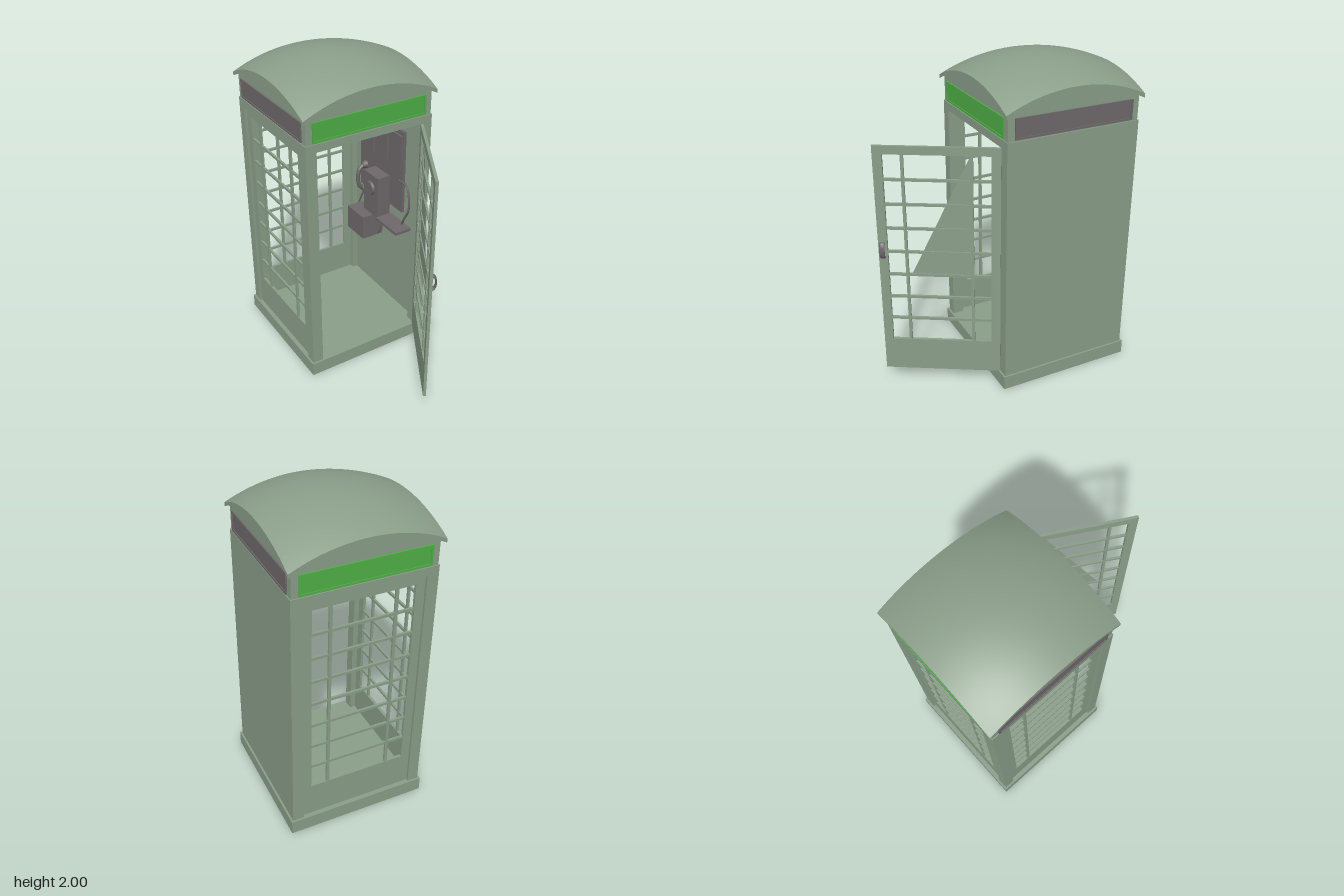
import * as THREE from 'three';

const paint = (color, extra = {}) => new THREE.MeshStandardMaterial({ color, ...extra });
const GREEN = paint(0x8a9e89);
const SHEET = paint(0x8a9e89, { side: THREE.DoubleSide });
const SIGN = paint(0x4fae46);
const DARK = paint(0x6e686a);

function add(parent, name, geometry, material, x = 0, y = 0, z = 0) {
  const mesh = new THREE.Mesh(geometry, material);
  mesh.name = name;
  mesh.position.set(x, y, z);
  parent.add(mesh);
  return mesh;
}
const box = (parent, name, mat, w, h, d, x, y, z) =>
  add(parent, name, new THREE.BoxGeometry(w, h, d), mat, x, y, z);

// Flat rectangular frame, depth centred on z = 0
function frame(w, y0, y1, holeW, h0, h1, depth) {
  const rect = (target, half, a, b) => target.moveTo(-half, a).lineTo(half, a).lineTo(half, b).lineTo(-half, b).closePath();
  const shape = rect(new THREE.Shape(), w / 2, y0, y1);
  shape.holes.push(rect(new THREE.Path(), holeW / 2, h0, h1));
  return new THREE.ExtrudeGeometry(shape, { depth, bevelEnabled: false }).translate(0, 0, -depth / 2);
}

// Glazing-bar panel used for the door and both open walls
function windowPanel(name) {
  const g = new THREE.Group();
  g.name = name;
  add(g, 'panelFrame', frame(0.72, 0.09, 1.59, 0.61, 0.31, 1.54, 0.018), GREEN);
  for (let i = 1; i < 8; i++) box(g, 'glazingBar', GREEN, 0.61, 0.016, 0.014, 0, 0.31 + i * 1.23 / 8, 0);
  for (const x of [-0.195, 0.195]) box(g, 'mullion', GREEN, 0.018, 1.23, 0.014, x, 0.925, 0);
  return g;
}

// Spherical roof height
const domeY = (x, z) => 0.9 + Math.sqrt(1.21 - x * x - z * z);

// Box whose top (and optionally bottom) follows the dome
function domedBox(size, top, bottom, flatBottom) {
  const geo = new THREE.BoxGeometry(size, 1, size, 28, 1, 28);
  const p = geo.attributes.position;
  for (let i = 0; i < p.count; i++) {
    const d = domeY(p.getX(i), p.getZ(i));
    p.setY(i, p.getY(i) > 0 ? d - top : flatBottom ?? d - bottom);
  }
  geo.computeVertexNormals();
  return geo;
}

function tube(parent, name, points, radius) {
  const curve = new THREE.CatmullRomCurve3(points.map(p => new THREE.Vector3(...p)));
  return add(parent, name, new THREE.TubeGeometry(curve, 32, radius, 8), DARK);
}

// Telephone equipment on the inside of the solid wall
function telephone() {
  const g = new THREE.Group();
  g.name = 'telephone';
  box(g, 'backboard', DARK, 0.02, 0.58, 0.5, 0.385, 1.16, -0.02);
  for (const z of [-0.16, 0, 0.16]) box(g, 'noticeFrame', DARK, 0.012, 0.24, 0.12, 0.37, 1.3, z);
  box(g, 'phoneBody', DARK, 0.1, 0.3, 0.17, 0.33, 0.93, 0);
  box(g, 'coinBox', DARK, 0.16, 0.17, 0.2, 0.3, 0.675, -0.1);
  box(g, 'shelf', DARK, 0.12, 0.02, 0.24, 0.33, 0.78, 0.2);
  const dial = add(g, 'dial', new THREE.CylinderGeometry(0.045, 0.05, 0.02, 24), DARK, 0.275, 0.98, 0);
  dial.rotation.z = Math.PI / 2;
  // Handset with ear and mouth pieces
  tube(g, 'handsetGrip', [[0.32, 1.07, -0.16], [0.29, 1.04, -0.16], [0.28, 0.98, -0.16], [0.29, 0.92, -0.16], [0.32, 0.89, -0.16]], 0.014);
  for (const y of [1.07, 0.89]) {
    const piece = add(g, 'handsetCup', new THREE.CylinderGeometry(0.02, 0.028, 0.03, 16), DARK, 0.33, y, -0.16);
    piece.rotation.z = Math.PI / 2;
  }
  tube(g, 'cord', [[0.33, 0.88, -0.16], [0.32, 0.68, -0.23], [0.33, 0.58, -0.2], [0.34, 0.6, 0], [0.34, 0.8, 0.06]], 0.006);
  tube(g, 'conduit', [[0.37, 1.1, 0.2], [0.36, 1.1, 0.3], [0.36, 0.95, 0.33], [0.36, 0.85, 0.28], [0.37, 0.78, 0.24]], 0.007);
  return g;
}

function door() {
  const hinge = new THREE.Group();
  hinge.name = 'door';
  hinge.position.set(0.36, 0, 0.43);
  hinge.rotation.y = Math.PI / 3;
  const leaf = windowPanel('doorLeaf');
  leaf.position.x = -0.36;
  hinge.add(leaf);
  // Triangular sheet left in the glazing
  const pane = new THREE.Shape([[-0.17, 1.54], [-0.53, 0.77], [-0.17, 0.77]].map(p => new THREE.Vector2(...p)));
  add(hinge, 'paneSheet', new THREE.ShapeGeometry(pane), SHEET);
  // Curved pull handle
  const pull = new THREE.TorusGeometry(0.045, 0.01, 10, 24, Math.PI)
    .rotateZ(-Math.PI / 2).rotateY(-Math.PI / 2).scale(1.7, 1, 0.5);
  add(hinge, 'doorHandle', pull, DARK, -0.695, 0.935, 0.009);
  return hinge;
}

export function createModel() {
  const model = new THREE.Group();
  model.name = 'phoneBooth';
  const booth = new THREE.Group();
  booth.name = 'booth';
  booth.position.z = -0.3;
  booth.rotation.y = 0.011;
  model.add(booth);

  // Base, corner posts and lintel
  box(booth, 'base', GREEN, 0.885, 0.09, 0.885, 0, 0.045, 0);
  for (const x of [-0.395, 0.395]) for (const z of [-0.395, 0.395])
    box(booth, 'cornerPost', GREEN, 0.07, 1.5, 0.07, x, 0.84, z);
  box(booth, 'lintel', GREEN, 0.86, 0.05, 0.86, 0, 1.615, 0);

  // One solid wall, two glazed walls, open door at the front
  box(booth, 'solidWall', GREEN, 0.035, 1.5, 0.72, 0.4125, 0.84, 0);
  const back = windowPanel('backWindow');
  back.position.z = -0.405;
  const side = windowPanel('sideWindow');
  side.position.x = -0.405;
  side.rotation.y = Math.PI / 2;
  booth.add(back, side, door(), telephone());

  // Header with a framed sign on each side
  add(booth, 'header', domedBox(0.848, 0.015, 0, 1.64), GREEN);
  for (let i = 0; i < 4; i++) {
    const sign = new THREE.Group();
    sign.name = 'sign';
    sign.rotation.y = i * Math.PI / 2;
    const material = i % 2 ? DARK : SIGN;
    box(sign, 'signPlate', material, 0.75, 0.11, 0.008, 0, 1.71, 0.424);
    add(sign, 'signRim', frame(0.764, 1.648, 1.772, 0.74, 1.66, 1.76, 0.014), material, 0, 0, 0.426);
    booth.add(sign);
  }

  // Domed roof shell
  add(booth, 'roof', domedBox(0.895, 0, 0.024), GREEN);
  return model;
}
